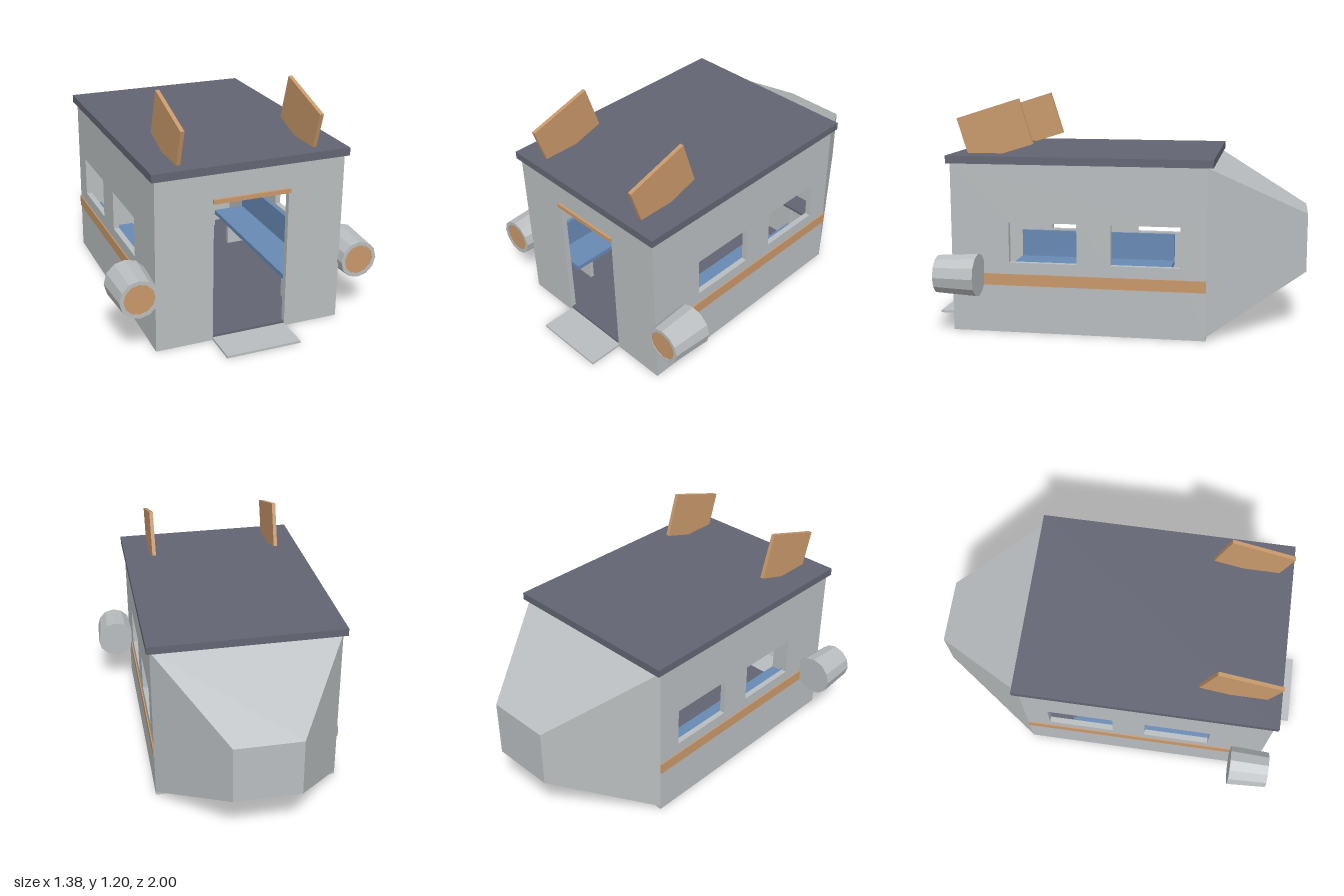
import * as THREE from 'three';
import { ConvexGeometry } from 'three/addons/geometries/ConvexGeometry.js';

const material = (name, color) => {
  const m = new THREE.MeshStandardMaterial({ color, flatShading: true });
  m.name = name;
  return m;
};

export function createModel() {
  const model = new THREE.Group();
  model.name = 'shuttle';
  const hull = material('hull grey', 0xb9bdbf);
  const dark = material('slate', 0x626572);
  const orange = material('tan orange', 0xc8986a);
  const blue = material('seat blue', 0x6789b4);

  const add = (name, geometry, mat, parent = model) => {
    const mesh = new THREE.Mesh(geometry, mat);
    mesh.name = name;
    parent.add(mesh);
    return mesh;
  };
  // Box given by its limits on each axis
  const box = (name, mat, [x0, x1], [y0, y1], [z0, z1], parent) => {
    const mesh = add(name, new THREE.BoxGeometry(x1 - x0, y1 - y0, z1 - z0), mat, parent);
    mesh.position.set((x0 + x1) / 2, (y0 + y1) / 2, (z0 + z1) / 2);
    return mesh;
  };
  const rect = (Type, x0, x1, y0, y1) => new Type([
    [x0, y0], [x1, y0], [x1, y1], [x0, y1],
  ].map(([x, y]) => new THREE.Vector2(x, y)));

  const W = 0.49, T = 0.03, TOP = 0.88, FRONT = 0.82, BACK = -0.5;

  // Floor, roof and rear bulkhead
  box('floor', dark, [-W + 0.015, W - 0.015], [0.008, 0.024], [BACK + 0.015, FRONT - 0.005]);
  box('roof', dark, [-0.508, 0.508], [TOP, 0.92], [-0.53, 0.838]);
  box('rearWall', hull, [-W + T, W - T], [0, TOP], [BACK, BACK + T]);

  // Front wall with doorway
  const front = new THREE.Shape([
    [-W + T, 0], [-0.195, 0], [-0.195, 0.73], [0.195, 0.73], [0.195, 0],
    [W - T, 0], [W - T, TOP], [-W + T, TOP],
  ].map(([x, y]) => new THREE.Vector2(x, y)));
  add('frontWall', new THREE.ExtrudeGeometry(front, { depth: T, bevelEnabled: false }), hull)
    .position.z = FRONT - T;
  box('doorLintel', orange, [-0.2, 0.2], [0.728, 0.75], [FRONT - T - 0.01, 0.833]);
  box('ramp', hull, [-0.195, 0.195], [0, 0.012], [FRONT - 0.01, 1]);

  // Side walls with two windows each
  const side = rect(THREE.Shape, BACK, FRONT, 0, TOP);
  side.holes.push(
    rect(THREE.Path, 0.16, 0.515, 0.37, 0.58),
    rect(THREE.Path, -0.37, -0.015, 0.37, 0.58),
  );
  const sideGeometry = new THREE.ExtrudeGeometry(side, { depth: T, bevelEnabled: false });
  sideGeometry.rotateY(-Math.PI / 2);

  // Tapered nose at the rear
  const corners = [];
  for (const s of [-1, 1]) {
    corners.push(
      new THREE.Vector3(s * W, 0.02, BACK), new THREE.Vector3(s * W, TOP, BACK),
      new THREE.Vector3(s * 0.172, 0.305, -1), new THREE.Vector3(s * 0.172, 0.612, -1),
    );
  }
  add('taperedNose', new ConvexGeometry(corners), hull);

  // Engine shell: tapered body with a shallow rim at the front
  const shellProfile = [
    [0, 0], [0.11, 0], [0.098, 0.212], [0.078, 0.212], [0.078, 0.204], [0, 0.204],
  ].map(([r, h]) => new THREE.Vector2(r, h));
  const shell = new THREE.LatheGeometry(shellProfile, 12).rotateX(Math.PI / 2);

  for (const s of [1, -1]) {
    const label = s > 0 ? 'left' : 'right';
    const span = (a, b) => (s > 0 ? [a, b] : [-b, -a]);

    add(`${label}Wall`, sideGeometry, hull).position.x = s > 0 ? W : -W + T;
    box(`${label}Stripe`, orange, span(W - 0.002, W + 0.006), [0.25, 0.31], [BACK, 0.8]);

    // Tilted roof fin
    const fin = add(`${label}Fin`, new THREE.BoxGeometry(0.02, 0.245, 0.351), orange);
    fin.position.set(s * 0.352, 1.035, 0.6175);
    fin.rotation.x = 0.304;

    // Engine
    const engine = new THREE.Group();
    engine.name = `${label}Engine`;
    engine.position.set(s * 0.582, 0.32, 0.65);
    model.add(engine);
    add('engineShell', shell, hull, engine);
    add('engineGlow', new THREE.CylinderGeometry(0.078, 0.078, 0.006, 12).rotateX(Math.PI / 2), orange, engine)
      .position.z = 0.206;

    // Bench along the wall
    const bench = new THREE.Group();
    bench.name = `${label}Bench`;
    model.add(bench);
    box('benchSeat', blue, span(0.26, W - T), [0.175, 0.2], [-0.24, 0.7], bench);
    box('benchBack', blue, span(W - T - 0.02, W - T), [0.2, 0.36], [-0.24, 0.7], bench);
    for (const z of [-0.14, 0.58]) {
      box('benchLeg', hull, span(0.3, 0.43), [0.007, 0.175], [z - 0.01, z + 0.01], bench);
    }
  }

  // Small table behind the left bench
  box('tableTop', dark, [0.175, W - T], [0.346, 0.36], [-0.47, -0.36]);
  box('tableLeg', hull, [0.3, 0.33], [0.024, 0.346], [-0.43, -0.4]);

  return model;
}
